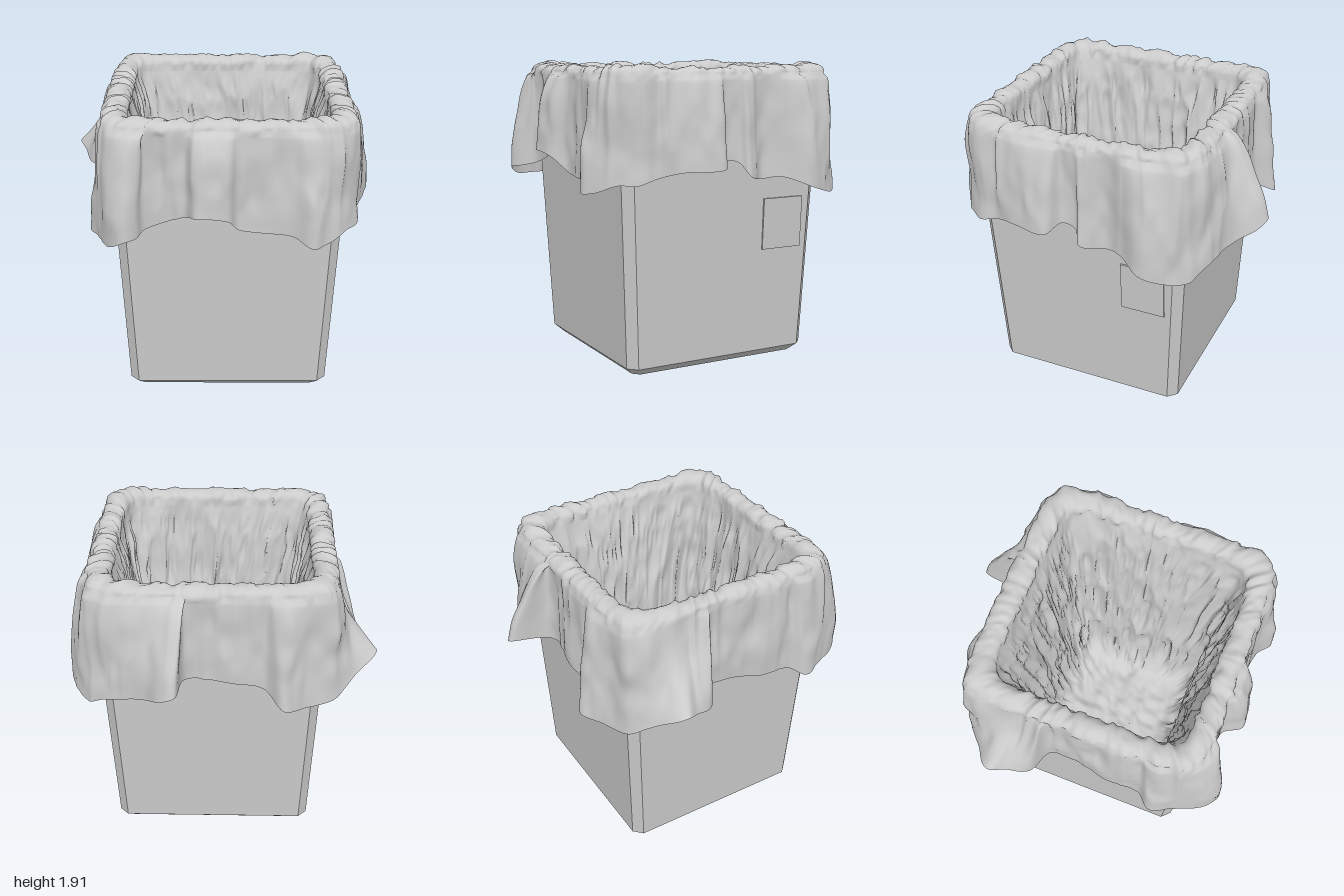
import * as THREE from 'three';

const CX = 0.07, CZ = 0.08; // centre of the bin
const { lerp, smoothstep } = THREE.MathUtils;

// Joins closed rings (rows of points, outside going up) into one surface
function loft(rows) {
  const n = rows[0].length, pos = [], idx = [];
  rows.forEach(r => r.forEach(p => pos.push(p.x, p.y, p.z)));
  for (let j = 0; j < rows.length - 1; j++) {
    for (let i = 0; i < n; i++) {
      const k = (i + 1) % n, a = j * n + i, b = j * n + k;
      idx.push(a, a + n, b, b, a + n, b + n);
    }
  }
  const g = new THREE.BufferGeometry();
  g.setAttribute('position', new THREE.Float32BufferAttribute(pos, 3));
  g.setIndex(idx);
  g.computeVertexNormals();
  return g;
}

// Smooth seeded value noise in 3D, from -1 to 1
function hash(x, y, z) {
  let h = Math.imul(x, 374761393) ^ Math.imul(y, 668265263) ^ Math.imul(z, 2147482634);
  h = Math.imul(h ^ (h >>> 13), 1274126177);
  return (((h ^ (h >>> 16)) >>> 0) / 4294967295) * 2 - 1;
}
function noise(x, y, z) {
  const ix = Math.floor(x), iy = Math.floor(y), iz = Math.floor(z);
  const s = t => t * t * (3 - 2 * t);
  const u = s(x - ix), v = s(y - iy), w = s(z - iz);
  const edge = (b, c) => lerp(hash(ix, iy + b, iz + c), hash(ix + 1, iy + b, iz + c), u);
  return lerp(lerp(edge(0, 0), edge(1, 0), v), lerp(edge(0, 1), edge(1, 1), v), w);
}
const crease = (x, y, z) => 0.5 - Math.abs(noise(x, y, z)) * 1.4;

// Square with cut corners
function binRing(half, cut, y) {
  const c = half - cut;
  return [[half, -c], [half, c], [c, half], [-c, half], [-half, c], [-half, -c], [-c, -half], [c, -half]]
    .map(([x, z]) => new THREE.Vector3(CX + x, y, CZ + z));
}

// Point of a rounded unit square in a given direction
function squareDir(a) {
  const c = Math.cos(a), s = Math.sin(a), p = 9;
  const r = 1 / Math.pow(Math.abs(c) ** p + Math.abs(s) ** p, 1 / p);
  return { x: c * r, z: s * r };
}

// Lower hem of the liner: x, z, height
const HEM = [
  [0.86, 0.05, 1.3], [0.86, 0.14, 1.32], [0.96, 0.2, 1.28], [0.97, 0.27, 1.27], [0.92, 0.45, 1.27],
  [0.87, 0.6, 1.24], [0.85, 0.74, 1.2], [0.78, 0.83, 1.2], [0.66, 0.92, 1.15], [0.57, 0.97, 1.14],
  [0.45, 0.9, 1.19], [0.3, 0.88, 1.2], [0.13, 0.87, 1.22], [0.06, 0.95, 1.31], [-0.12, 0.98, 1.34],
  [-0.2, 0.87, 1.3], [-0.43, 0.86, 1.22], [-0.48, 0.95, 1.2], [-0.55, 0.99, 1.19], [-0.65, 0.92, 1.13],
  [-0.71, 0.78, 1.12], [-0.79, 0.6, 1.12], [-0.72, 0.5, 1.17], [-0.73, 0.3, 1.2], [-0.7, 0.1, 1.24],
  [-0.71, -0.1, 1.26], [-0.86, -0.18, 1.24], [-0.92, -0.32, 1.28], [-0.97, -0.42, 1.32], [-0.8, -0.58, 1.2],
  [-0.7, -0.67, 1.12], [-0.5, -0.75, 1.1], [-0.38, -0.84, 1.13], [-0.25, -0.72, 1.22], [-0.05, -0.74, 1.27],
  [0.22, -0.71, 1.28], [0.28, -0.98, 1.32], [0.38, -0.95, 1.27], [0.47, -0.84, 1.21], [0.6, -0.78, 1.17],
  [0.73, -0.74, 1.14], [0.84, -0.67, 1.08], [0.93, -0.54, 1.1], [0.97, -0.41, 1.14], [0.88, -0.25, 1.2],
  [0.84, -0.13, 1.19], [0.92, 0, 1.22]
];

function linerGeometry() {
  const N = 520;
  const hem = new THREE.CatmullRomCurve3(HEM.map(([x, z, y]) => new THREE.Vector3(x, y, z)), true)
    .getSpacedPoints(N).slice(0, N);
  const dirs = hem.map(p => squareDir(Math.atan2(p.z - CZ, p.x - CX)));
  const rows = [];

  // Hanging skirt: bulges out below the rim, but one back corner only flips out at the hem
  const bulge = hem.map(h => 0.42 + 0.15 * smoothstep(-h.z, 0.7, 0.95)
    + 1.4 * Math.exp(-((h.x + 0.94) ** 2 + (h.z + 0.4) ** 2) / 0.03));
  const skirt = 32;
  for (let j = 0; j < skirt; j++) {
    const t = 1 - j / skirt;
    rows.push(hem.map((h, i) => {
      const d = dirs[i], y = lerp(1.83, h.y, t), out = Math.pow(t, bulge[i]);
      const f = Math.sin(t * Math.PI) * (0.02 * noise(d.x * 5, y * 3, d.z * 5) + 0.01 * noise(d.x * 11, y * 7, d.z * 11))
        + 0.02 * (1 - t * 0.6) * crease(d.x * 9 + 4, y * 1.8, d.z * 9);
      return new THREE.Vector3(
        lerp(CX + d.x * 0.77, h.x, out) + d.x * f, y,
        lerp(CZ + d.z * 0.77, h.z, out) + d.z * f);
    }));
  }

  // Puckered roll over the rim, a little higher at the corners
  for (let j = 0; j <= 10; j++) {
    const a = (j / 10) * Math.PI;
    rows.push(dirs.map(d => {
      const f = 0.02 * crease(d.x * 9 + 4, 3.3, d.z * 9) + 0.01 * noise(d.x * 20, j * 0.5, d.z * 20);
      const corner = 0.015 * smoothstep(Math.hypot(d.x, d.z), 1.15, 1.3);
      const half = 0.698 + (0.072 + f) * Math.cos(a);
      return new THREE.Vector3(CX + d.x * half, 1.83 + (0.05 + corner + f) * Math.sin(a), CZ + d.z * half);
    }));
  }

  // Bag inside the bin, tapering down to a rumpled floor
  const profile = new THREE.CatmullRomCurve3([[0.626, 1.82], [0.59, 1.6], [0.53, 1.2], [0.48, 0.7],
    [0.43, 0.25], [0.33, 0.13], [0.15, 0.12], [0.001, 0.12]].map(([x, y]) => new THREE.Vector3(x, y, 0)));
  const M = 80;
  for (let j = 1; j <= M; j++) {
    const p = profile.getPoint(j / M), grow = Math.min(1, j / 8);
    const floor = smoothstep(0.46 - p.x, 0, 0.14);
    rows.push(dirs.map(d => {
      const y = p.y, sx = d.x * 6 + y * 1.1, sz = d.z * 6 - y * 0.8;
      const f = grow * (1 - floor) * (0.04 * crease(sx, y * 2.2, sz) + 0.018 * crease(sx * 2.6, y * 6, sz * 2.6));
      const half = p.x - f;
      const x = CX + d.x * half, z = CZ + d.z * half;
      const lift = floor * (0.03 * crease(x * 5 + z * 3, 0.4, z * 5) + 0.02 * noise(x * 17, 3.3, z * 17 + x * 8));
      return new THREE.Vector3(x, y + lift, z);
    }));
  }
  return loft(rows);
}

export function createModel() {
  const model = new THREE.Group();
  const add = (name, geometry, options = {}) => {
    const mesh = new THREE.Mesh(geometry, new THREE.MeshStandardMaterial({ color: 0xcccccc, ...options }));
    mesh.name = name;
    model.add(mesh);
    return mesh;
  };

  // Tapered bin: closed base, bevelled foot, outer wall, lip, inner wall and inner floor
  add('bin', loft([
    binRing(0, 0, 0), binRing(0.585, 0.04, 0), binRing(0.64, 0.055, 0.05), binRing(0.72, 0.06, 1.84),
    binRing(0.68, 0.05, 1.84), binRing(0.61, 0.05, 0.05), binRing(0, 0, 0.05)
  ]), { flatShading: true });

  // Thin plate lying on the left wall, tilted with it
  const plate = add('sidePlate', new THREE.BoxGeometry(0.02, 0.33, 0.29), { flatShading: true });
  plate.position.set(0.747, 0.885, -0.345);
  plate.rotation.z = -0.055;

  // Crumpled liner folded over the rim
  add('liner', linerGeometry(), { side: THREE.DoubleSide });

  return model;
}
